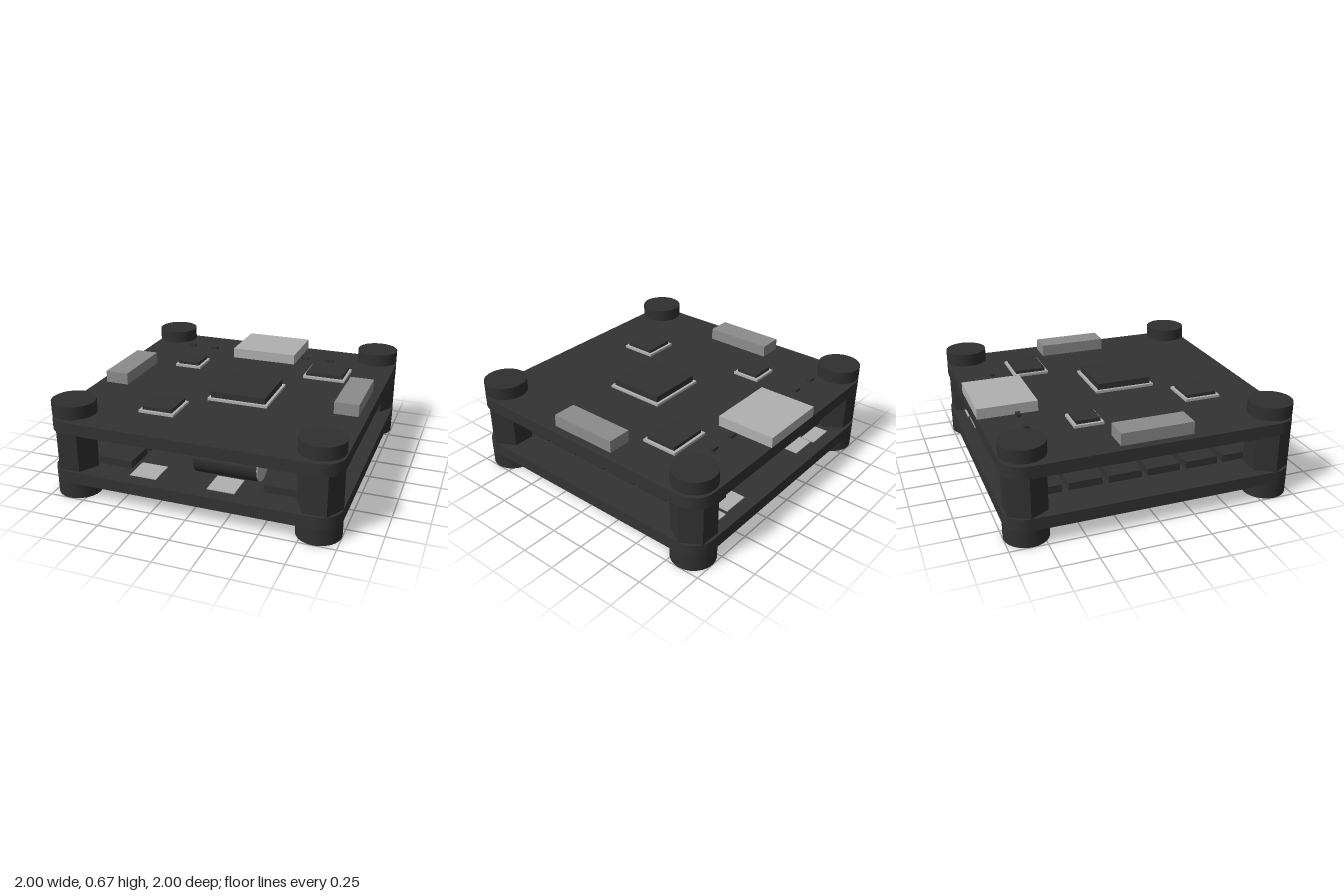
import * as THREE from 'three';

const mat = (name, color) => {
  const m = new THREE.MeshStandardMaterial({ color });
  m.name = name;
  return m;
};

export function createModel() {
  const board = mat('board black', 0x333333);
  const rubber = mat('hardware black', 0x303030);
  const chipBlack = mat('chip black', 0x323232);
  const metal = mat('bright metal', 0xb0b0b0);
  const plastic = mat('connector grey', 0x8c8c8c);
  const model = new THREE.Group();
  model.name = 'stackedCircuitBoards';

  const add = (name, geo, material, x, y, z, parent = model) => {
    const m = new THREE.Mesh(geo, material);
    m.name = name;
    m.position.set(x, y, z);
    parent.add(m);
    return m;
  };
  // Box given by its ranges on each axis
  const block = (name, material, x0, x1, y0, y1, z0, z1, parent) =>
    add(name, new THREE.BoxGeometry(x1 - x0, y1 - y0, z1 - z0), material,
      (x0 + x1) / 2, (y0 + y1) / 2, (z0 + z1) / 2, parent);

  // Rounded square boards
  const r = 0.15, s = new THREE.Shape();
  s.absarc(1 - r, 1 - r, r, 0, Math.PI / 2);
  s.absarc(r - 1, 1 - r, r, Math.PI / 2, Math.PI);
  s.absarc(r - 1, r - 1, r, Math.PI, Math.PI * 1.5);
  s.absarc(1 - r, r - 1, r, Math.PI * 1.5, Math.PI * 2);
  const boardGeo = new THREE.ExtrudeGeometry(s, { depth: 0.085, bevelEnabled: false, curveSegments: 8 });
  boardGeo.rotateX(-Math.PI / 2);
  const lower = 0.2, upper = 0.56;
  add('lowerBoard', boardGeo, board, 0, lower - 0.085, 0);
  add('upperBoard', boardGeo, board, 0, upper - 0.085, 0);

  // Corner hardware: foot, hexagonal standoff, screw neck and head
  for (const x of [-0.85, 0.85]) for (const z of [-0.85, 0.85]) {
    const post = new THREE.Group();
    post.name = 'cornerPost';
    post.position.set(x, 0, z);
    model.add(post);
    const cyl = (name, rad, y0, y1, sides) => {
      const g = new THREE.CylinderGeometry(rad, rad, y1 - y0, sides);
      if (sides === 6) g.rotateY(Math.PI / 6 * 3);
      const flat = sides === 6 ? g.toNonIndexed() : g;
      if (sides === 6) flat.computeVertexNormals();
      add(name, flat, rubber, 0, (y0 + y1) / 2, 0, post);
    };
    cyl('foot', 0.15, 0, 0.115, 24);
    cyl('standoff', 0.15, 0.2, 0.475, 6);
    cyl('screwNeck', 0.075, 0.56, 0.582, 16);
    cyl('screwHead', 0.15, 0.58, 0.67, 24);
  }

  // Chips: a metal pin skirt under an inset black body
  const chip = (x0, x1, z0, z1, y, h) => {
    const g = new THREE.Group();
    g.name = 'chip';
    model.add(g);
    block('chipPins', metal, x0, x1, y, y + 0.018, z0, z1, g);
    block('chipBody', chipBlack, x0 + 0.02, x1 - 0.02, y + 0.005, y + h, z0 + 0.02, z1 - 0.02, g);
  };
  chip(-0.11, 0.325, -0.11, 0.325, upper, 0.062);
  chip(0.395, 0.71, -0.58, -0.32, upper, 0.042);
  chip(-0.605, -0.4, -0.44, -0.235, upper, 0.042);
  chip(-0.465, -0.21, 0.42, 0.68, upper, 0.042);
  chip(-0.215, 0.22, -0.435, 0, lower, 0.057);

  // Connectors on the upper board
  block('rearPort', metal, -0.25, 0.25, upper, 0.635, -1, -0.58);
  for (const side of [-1, 1])
    add('sideConnector', new THREE.BoxGeometry(0.17, 0.085, 0.5), plastic, side * 0.855, 0.6025, 0);

  // Row of small components near the rear edge
  for (let i = 0; i < 7; i++)
    add('smallComponent', new THREE.BoxGeometry(0.056, 0.02, 0.03), chipBlack, -0.67 + i * 0.1945, 0.57, -0.727);

  // Two rows of power transistors on the lower board
  for (const side of [-1, 1]) for (let i = 0; i < 6; i++)
    add('powerTransistor', new THREE.BoxGeometry(0.28, 0.052, 0.235), chipBlack,
      side * 0.607, 0.226, (i - 2.5) * 0.278);

  // Solder pads
  const pads = [[-0.34, 0.81], [0.21, 0.81], [0.7, -0.82], [0.48, -0.81], [-0.36, -0.8], [-0.56, -0.82]];
  for (const [x, z] of pads)
    add('solderPad', new THREE.BoxGeometry(0.19, 0.006, 0.19), metal, x, 0.203, z);

  // Capacitor lying along x, with metal ends
  const can = new THREE.CylinderGeometry(0.12, 0.12, 0.44, 32).rotateZ(Math.PI / 2);
  add('capacitor', can, rubber, 0.19, 0.325, 0.67);
  const end = new THREE.CylinderGeometry(0.118, 0.118, 0.008, 32).rotateZ(Math.PI / 2);
  add('capacitorEnd', end, metal, 0.414, 0.325, 0.67);

  return model;
}
